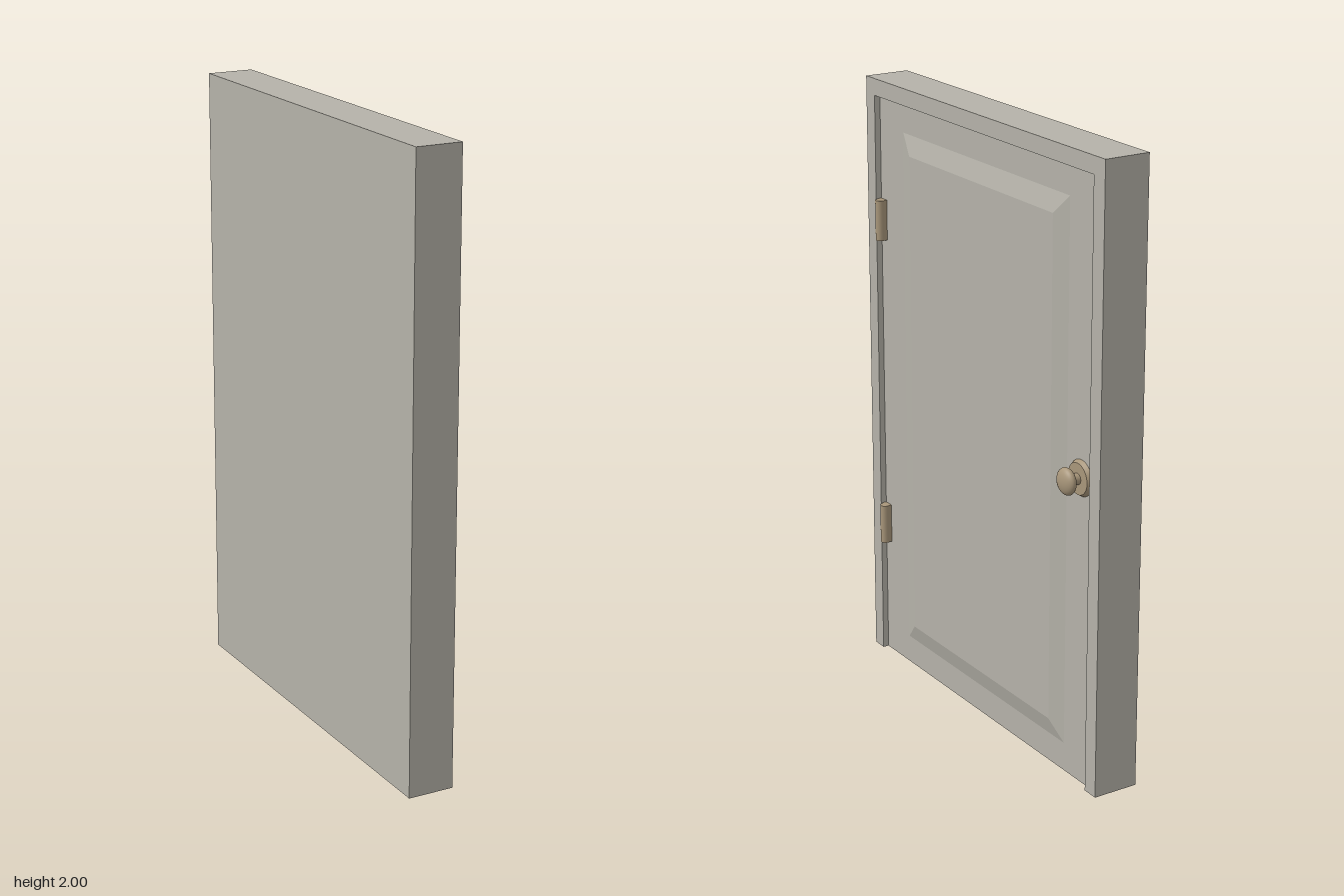
import * as THREE from 'three';

export function createModel() {
  const paint = new THREE.MeshStandardMaterial({ color: 0xb5b2a9 });
  paint.name = 'warm grey paint';
  const brass = new THREE.MeshStandardMaterial({ color: 0xa8967a });
  brass.name = 'dull brass';

  const door = new THREE.Group();
  door.name = 'door';
  const add = (name, geometry, material, x = 0, y = 0, z = 0, parent = door) => {
    const mesh = new THREE.Mesh(geometry, material);
    mesh.name = name;
    mesh.position.set(x, y, z);
    parent.add(mesh);
    return mesh;
  };

  const back = -0.105, front = 0.047, face = 0.027; // depth positions along x
  const halfWidth = 0.665, hingeSide = 0.614, latchSide = -0.61, head = 1.945;

  // Frame: an upside-down U around the leaf
  const outline = new THREE.Shape([
    [-halfWidth, 0], [-hingeSide, 0], [-hingeSide, head], [-latchSide, head],
    [-latchSide, 0], [halfWidth, 0], [halfWidth, 2], [-halfWidth, 2],
  ].map(([x, y]) => new THREE.Vector2(x, y)));
  const frame = new THREE.ExtrudeGeometry(outline, { depth: front - back, bevelEnabled: false });
  frame.rotateY(Math.PI / 2);
  add('frame', frame, paint, back);

  // Leaf, set slightly behind the frame's face
  add('leaf', new THREE.BoxGeometry(face - back, head, hingeSide - latchSide), paint,
    (face + back) / 2, head / 2, (hingeSide + latchSide) / 2);

  // Raised panel with sloping borders
  const rise = 0.017, panelHeight = 1.755, panelWidth = 0.935, slope = 0.063;
  const panel = new THREE.BoxGeometry(rise, panelHeight, panelWidth);
  const p = panel.attributes.position;
  for (let i = 0; i < p.count; i++) {
    if (p.getX(i) < 0) continue;
    p.setY(i, p.getY(i) - Math.sign(p.getY(i)) * slope);
    p.setZ(i, p.getZ(i) - Math.sign(p.getZ(i)) * slope);
  }
  panel.computeVertexNormals();
  add('raisedPanel', panel, paint, face + rise / 2, 0.972, 0.002);

  // Knob: rose plate, neck and flattened head
  const knob = new THREE.Group();
  knob.name = 'knob';
  knob.position.set(face, 1.005, -0.54);
  door.add(knob);
  const rose = new THREE.CylinderGeometry(0.05, 0.058, 0.014, 32).rotateZ(-Math.PI / 2);
  add('knobRose', rose, brass, 0.007, 0, 0, knob);
  const neck = new THREE.CylinderGeometry(0.018, 0.018, 0.045, 24).rotateZ(-Math.PI / 2);
  add('knobNeck', neck, brass, 0.0225, 0, 0, knob);
  const knobHead = new THREE.SphereGeometry(0.043, 32, 20).rotateZ(-Math.PI / 2);
  knobHead.scale(0.5, 1, 1);
  add('knobHead', knobHead, brass, 0.053, 0, 0, knob);

  // Hinges: a barrel with a leaf against the jamb
  for (const [name, y] of [['lowerHinge', 0.472], ['upperHinge', 1.537]]) {
    const hinge = new THREE.Group();
    hinge.name = name;
    hinge.position.y = y;
    door.add(hinge);
    add('hingeBarrel', new THREE.CylinderGeometry(0.016, 0.016, 0.134, 20), brass, 0.044, 0, 0.594, hinge);
    add('hingeLeaf', new THREE.BoxGeometry(0.016, 0.134, 0.034), brass, face + 0.008, 0, 0.597, hinge);
  }
  return door;
}
